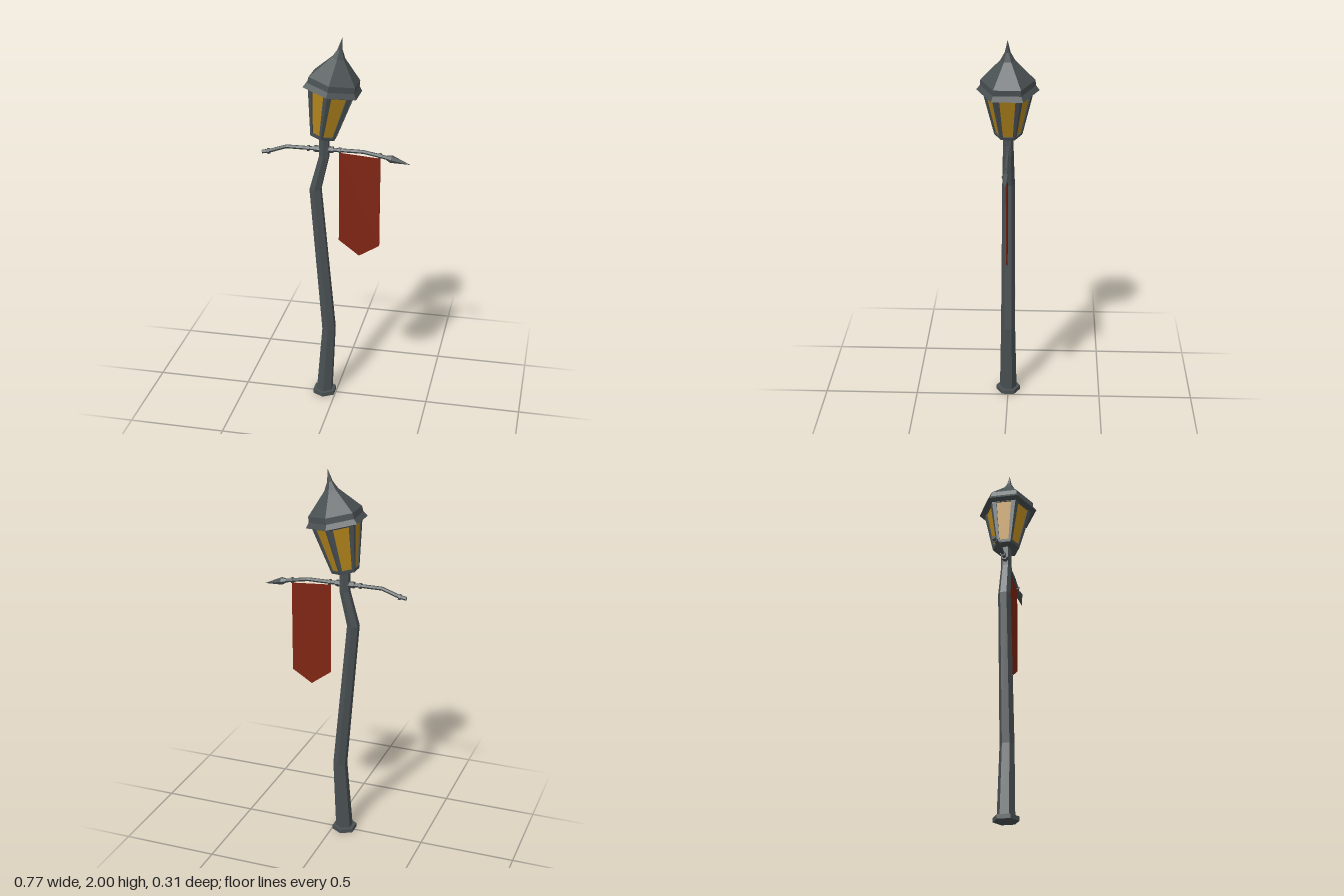
import * as THREE from 'three';

const iron = new THREE.MeshStandardMaterial({ color: 0x4a5153 });
iron.name = 'dark iron';
const glass = new THREE.MeshStandardMaterial({ color: 0xb98a1e });
glass.name = 'amber glass';
const cloth = new THREE.MeshStandardMaterial({ color: 0x7e2411 });
cloth.name = 'red cloth';

// Faceted mesh with one normal per face
function part(name, geometry, material = iron) {
  const g = geometry.index ? geometry.toNonIndexed() : geometry;
  g.computeVertexNormals();
  const mesh = new THREE.Mesh(g, material);
  mesh.name = name;
  return mesh;
}

// Six-sided bar through [x, y, radius] stations, mitred at the bends
function bar(stations) {
  const n = stations.length - 1;
  const g = new THREE.CylinderGeometry(1, 1, n, 6, n);
  const pos = g.attributes.position;
  for (let i = 0; i < pos.count; i++) {
    const k = Math.round(pos.getY(i) + n / 2);
    const [x, y, r] = stations[k];
    const a = stations[Math.max(k - 1, 0)], b = stations[Math.min(k + 1, n)];
    const t = new THREE.Vector2(b[0] - a[0], b[1] - a[1]).normalize();
    const s = pos.getX(i) * r;
    pos.setXYZ(i, x + t.y * s, y - t.x * s, pos.getZ(i) * r);
  }
  return g;
}

const trapezoid = (bottom, top, y0, y1) => [
  [-bottom, y0], [bottom, y0], [top, y1], [-top, y1],
].map(([x, y]) => new THREE.Vector2(x, y));

function createLantern() {
  const lantern = new THREE.Group();
  lantern.name = 'lantern';
  const rBottom = 0.072, rTop = 0.13, height = 0.25;
  const apothem = Math.cos(Math.PI / 6);
  const flare = Math.atan2((rTop - rBottom) * apothem, height);
  const slant = height / Math.cos(flare);

  // Framed panes, one per side
  const frameShape = new THREE.Shape(trapezoid(rBottom / 2, rTop / 2, 0, slant));
  frameShape.holes.push(new THREE.Path(trapezoid(0.025, 0.04, 0.014, slant - 0.012).reverse()));
  const frameGeometry = new THREE.ExtrudeGeometry(frameShape, { depth: 0.009, bevelEnabled: false });
  frameGeometry.translate(0, 0, -0.009);
  const paneGeometry = new THREE.ShapeGeometry(new THREE.Shape(trapezoid(0.028, 0.044, 0.008, slant - 0.006)));
  paneGeometry.translate(0, 0, -0.007);
  for (let i = 0; i < 6; i++) {
    const side = new THREE.Group();
    side.name = 'lanternSide';
    side.rotation.y = Math.PI / 6 + i * Math.PI / 3;
    const panel = new THREE.Group();
    panel.name = 'framedPane';
    panel.position.z = rBottom * apothem;
    panel.rotation.x = flare;
    panel.add(part('paneFrame', frameGeometry), part('pane', paneGeometry, glass));
    side.add(panel);
    lantern.add(side);
  }

  // Floor rim
  const floor = part('lanternFloor', new THREE.CylinderGeometry(0.074, 0.07, 0.012, 6));
  floor.position.y = 0.003;
  lantern.add(floor);

  // Stepped eave, roof and spire
  const profile = [[0, 0.24], [0.126, 0.24], [0.157, 0.25], [0.139, 0.275], [0.136, 0.305],
    [0.036, 0.413], [0.014, 0.455], [0, 0.518]].map(([r, y]) => new THREE.Vector2(r, y));
  lantern.add(part('roof', new THREE.LatheGeometry(profile, 6)));

  lantern.position.set(-0.062, 1.491, 0);
  lantern.rotation.z = -0.183;
  return lantern;
}

function createArm() {
  const arm = new THREE.Group();
  arm.name = 'bannerArm';
  arm.add(part('armRod', bar([[-0.384, 1.381, 0.01], [-0.35, 1.386, 0.01], [-0.257, 1.418, 0.01],
    [0.14, 1.418, 0.01], [0.23, 1.402, 0.01], [0.27, 1.393, 0.01]])));
  arm.add(part('spearTip', bar([[0.255, 1.397, 0.009], [0.283, 1.391, 0.02], [0.38, 1.367, 0]])));
  arm.add(part('poleClamp', bar([[-0.112, 1.418, 0.017], [-0.012, 1.418, 0.017]])));

  // Collars: centre, slope and radius
  for (const [x, y, slope, r] of [[-0.35, 1.386, 0.25, 0.015], [-0.142, 1.418, 0, 0.015],
    [0.021, 1.418, 0, 0.015], [0.226, 1.403, -0.2, 0.015]]) {
    const h = 0.006;
    arm.add(part('collar', bar([[x - h, y - h * slope, r], [x + h, y + h * slope, r]])));
  }
  return arm;
}

function createBanner() {
  const outline = [[0.016, 1.404], [0.016, 0.922], [0.123, 0.842], [0.229, 0.907], [0.229, 1.388]];
  const shape = new THREE.Shape(outline.map(([x, y]) => new THREE.Vector2(x, y)));
  const g = new THREE.ExtrudeGeometry(shape, { depth: 0.004, bevelEnabled: false });
  g.translate(0, 0, -0.002);
  return part('banner', g, cloth);
}

export function createModel() {
  const model = new THREE.Group();
  model.name = 'crookedStreetLamp';

  // Foot and crooked post
  model.add(part('foot', bar([[-0.062, 0, 0.066], [-0.062, 0.022, 0.066]])));
  model.add(part('post', bar([[-0.062, 0.01, 0.046], [-0.037, 0.4, 0.038], [-0.106, 1.2, 0.033],
    [-0.06, 1.38, 0.028], [-0.06, 1.5, 0.027]])));

  model.add(createArm(), createBanner(), createLantern());
  return model;
}
